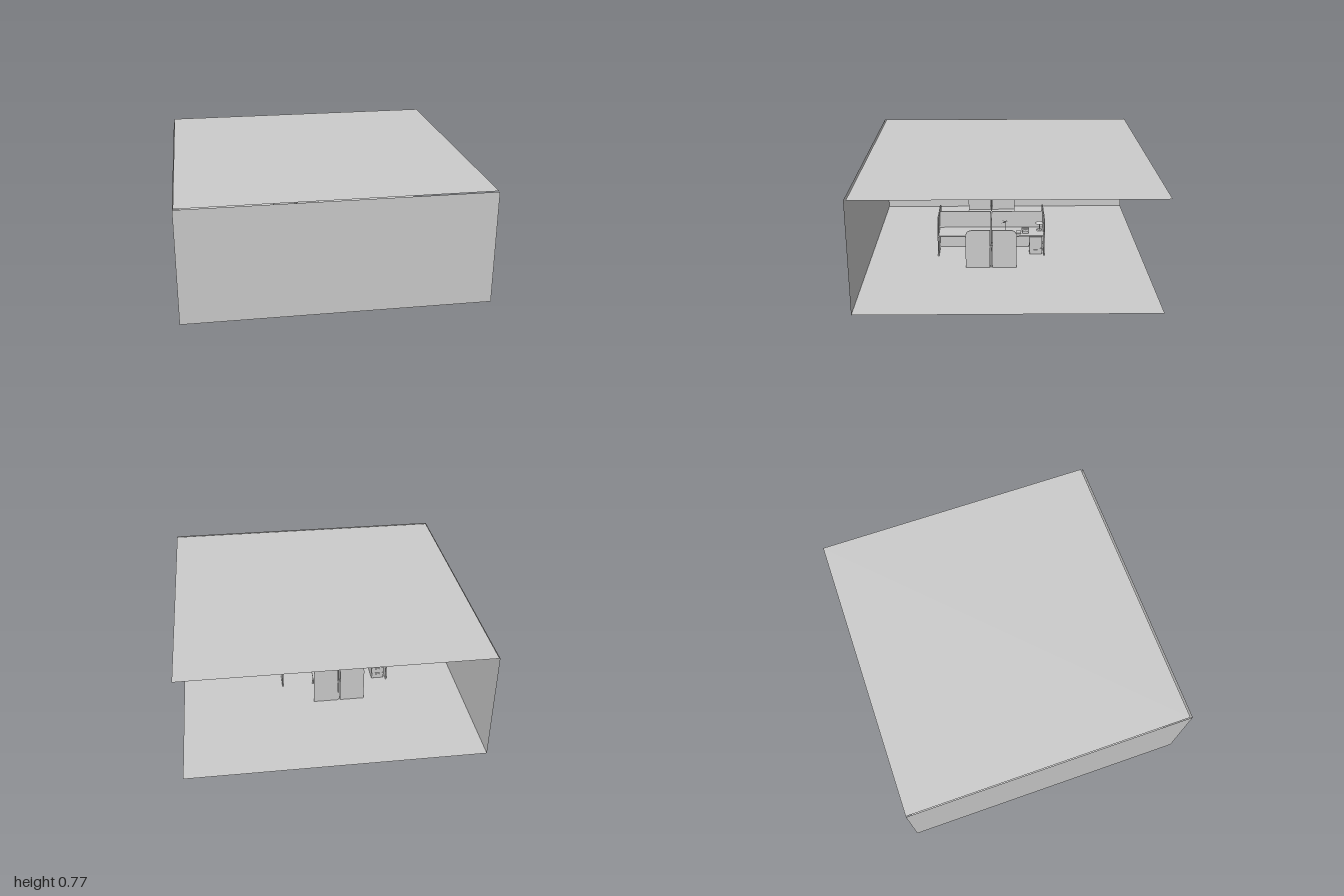
import * as THREE from 'three';

const grey = new THREE.MeshStandardMaterial({ color: 0xcccccc });
const thin = new THREE.MeshStandardMaterial({ color: 0xcccccc, side: THREE.DoubleSide });

function add(parent, name, geo, x = 0, y = 0, z = 0, mat = grey) {
  const m = new THREE.Mesh(geo, mat);
  m.name = name;
  m.position.set(x, y, z);
  parent.add(m);
  return m;
}
const box = (w, h, d) => new THREE.BoxGeometry(w, h, d);
const cyl = (r1, r2, h, n = 16) => new THREE.CylinderGeometry(r1, r2, h, n);

const ARM = 0.39, HALF = 0.18, PANEL_H = 0.29, DESK_Y = 0.165, T = 0.008;

// end screen half with a rounded outer top corner; s = +1 or -1 picks the side
function endScreen(s) {
  const r = 0.05, g = 0.008;
  const shape = new THREE.Shape();
  shape.moveTo(s * g, 0);
  shape.lineTo(s * HALF, 0);
  shape.lineTo(s * HALF, PANEL_H - r);
  shape.quadraticCurveTo(s * HALF, PANEL_H, s * (HALF - r), PANEL_H);
  shape.lineTo(s * g, PANEL_H);
  return new THREE.ExtrudeGeometry(shape, { depth: T, bevelEnabled: false, curveSegments: 10 })
    .rotateY(Math.PI / 2);
}

// L-shaped worktop with a curved inner corner
function worktop() {
  const a = T / 2, b = ARM - T, d = HALF, c = 0.03;
  const s = new THREE.Shape();
  s.moveTo(a, a);
  s.lineTo(b, a);
  s.lineTo(b, d);
  s.lineTo(d + c, d);
  s.quadraticCurveTo(d, d, d, d + c);
  s.lineTo(d, b);
  s.lineTo(a, b);
  return new THREE.ExtrudeGeometry(s, { depth: 0.008, bevelEnabled: false, curveSegments: 8 })
    .rotateX(-Math.PI / 2);
}

// one quarter of the cluster, filling +x / -z
function workstation() {
  const g = new THREE.Group();
  g.name = 'workstation';
  add(g, 'partition', box(ARM - T, PANEL_H, T), (ARM - T) / 2, PANEL_H / 2, 0);
  for (const s of [1, -1]) add(g, 'endScreen', endScreen(s), ARM - T, 0, 0);
  add(g, 'worktop', worktop(), 0, DESK_Y - 0.008, 0);
  add(g, 'cornerLeg', cyl(0.006, 0.006, DESK_Y - 0.008), 0.16, (DESK_Y - 0.008) / 2, -0.16);
  add(g, 'legFoot', cyl(0.01, 0.01, 0.006), 0.16, 0.011, -0.16);
  // drawer pedestal
  add(g, 'pedestal', box(0.14, 0.14, 0.09), 0.09, 0.082, -0.325);
  for (let i = 0; i < 3; i++) {
    const y = 0.036 + i * 0.046;
    add(g, 'drawerFront', box(0.004, 0.042, 0.086), 0.162, y, -0.325);
    add(g, 'drawerHandle', box(0.004, 0.004, 0.03), 0.166, y + 0.01, -0.325);
  }
  return g;
}

function plant() {
  const g = new THREE.Group();
  g.name = 'plant';
  add(g, 'pot', cyl(0.018, 0.013, 0.035), 0, 0.0175, 0);
  add(g, 'stem', cyl(0.002, 0.002, 0.1, 8), 0, 0.08, 0);
  for (let i = 0; i < 9; i++) {
    const leaf = new THREE.PlaneGeometry(0.007, 0.03, 1, 4).translate(0, 0.015, 0);
    const p = leaf.attributes.position;
    for (let k = 0; k < p.count; k++) {
      const t = p.getY(k) / 0.03;
      p.setX(k, p.getX(k) * Math.sin(Math.PI * Math.min(0.98, t + 0.08)));
      p.setZ(k, t * t * 0.008);
    }
    leaf.computeVertexNormals();
    const m = add(g, 'leaf', leaf, 0, 0.128, 0, thin);
    m.rotation.set(0.5 + (i % 3) * 0.4, i * 2.4, 0, 'YXZ');
  }
  return g;
}

function deskLamp() {
  const g = new THREE.Group();
  g.name = 'deskLamp';
  add(g, 'lampBase', cyl(0.018, 0.022, 0.008), 0, 0.004, 0);
  add(g, 'lampStem', cyl(0.004, 0.004, 0.055, 10), 0, 0.035, 0);
  add(g, 'lampShade', cyl(0.012, 0.032, 0.014, 20), 0, 0.062, 0);
  return g;
}

function telephone() {
  const g = new THREE.Group();
  g.name = 'telephone';
  add(g, 'phoneBase', box(0.05, 0.014, 0.045), 0, 0.007, 0);
  add(g, 'handset', box(0.012, 0.008, 0.055), -0.012, 0.024, 0);
  for (const s of [-1, 1]) add(g, 'handsetEnd', box(0.014, 0.01, 0.012), -0.012, 0.019, s * 0.021);
  for (let i = 0; i < 9; i++)
    add(g, 'phoneKey', box(0.005, 0.003, 0.006), 0.006 + (i % 3) * 0.007, 0.015, (Math.floor(i / 3) - 1) * 0.01);
  return g;
}

export function createModel() {
  const model = new THREE.Group();
  model.name = 'officeRoom';

  // room shell: two walls, floor and ceiling, other sides open
  const F = 0.008, H = 0.77, D = 0.985;
  add(model, 'floor', new THREE.PlaneGeometry(2, 2 * D).rotateX(-Math.PI / 2), 0, F, 0, thin);
  add(model, 'ceiling', new THREE.PlaneGeometry(1.995, D + 0.97).rotateX(-Math.PI / 2),
    0.0025, H, (0.97 - D) / 2, thin);
  add(model, 'frontWall', new THREE.PlaneGeometry(2, H - F), 0, (H + F) / 2, D, thin);
  add(model, 'sideWall', new THREE.PlaneGeometry(2 * D, H - F).rotateY(Math.PI / 2),
    -1, (H + F) / 2, 0, thin);

  // four-desk cluster
  const cluster = new THREE.Group();
  cluster.name = 'deskCluster';
  cluster.position.set(-0.11, 0, 0.11);
  model.add(cluster);
  for (let i = 0; i < 4; i++) {
    const w = workstation();
    w.rotation.y = i * Math.PI / 2;
    cluster.add(w);
  }
  add(cluster, 'centrePost', cyl(0.007, 0.007, PANEL_H), 0, PANEL_H / 2, 0);

  // items on one worktop
  const items = [[plant(), 0.25, 0.1], [deskLamp(), 0.07, 0.355], [telephone(), 0.11, 0.25]];
  for (const [o, u, v] of items) {
    o.position.set(u, DESK_Y, -v);
    cluster.add(o);
  }
  add(cluster, 'notebook', box(0.05, 0.008, 0.035), 0.12, DESK_Y + 0.004, -0.2);
  return model;
}
